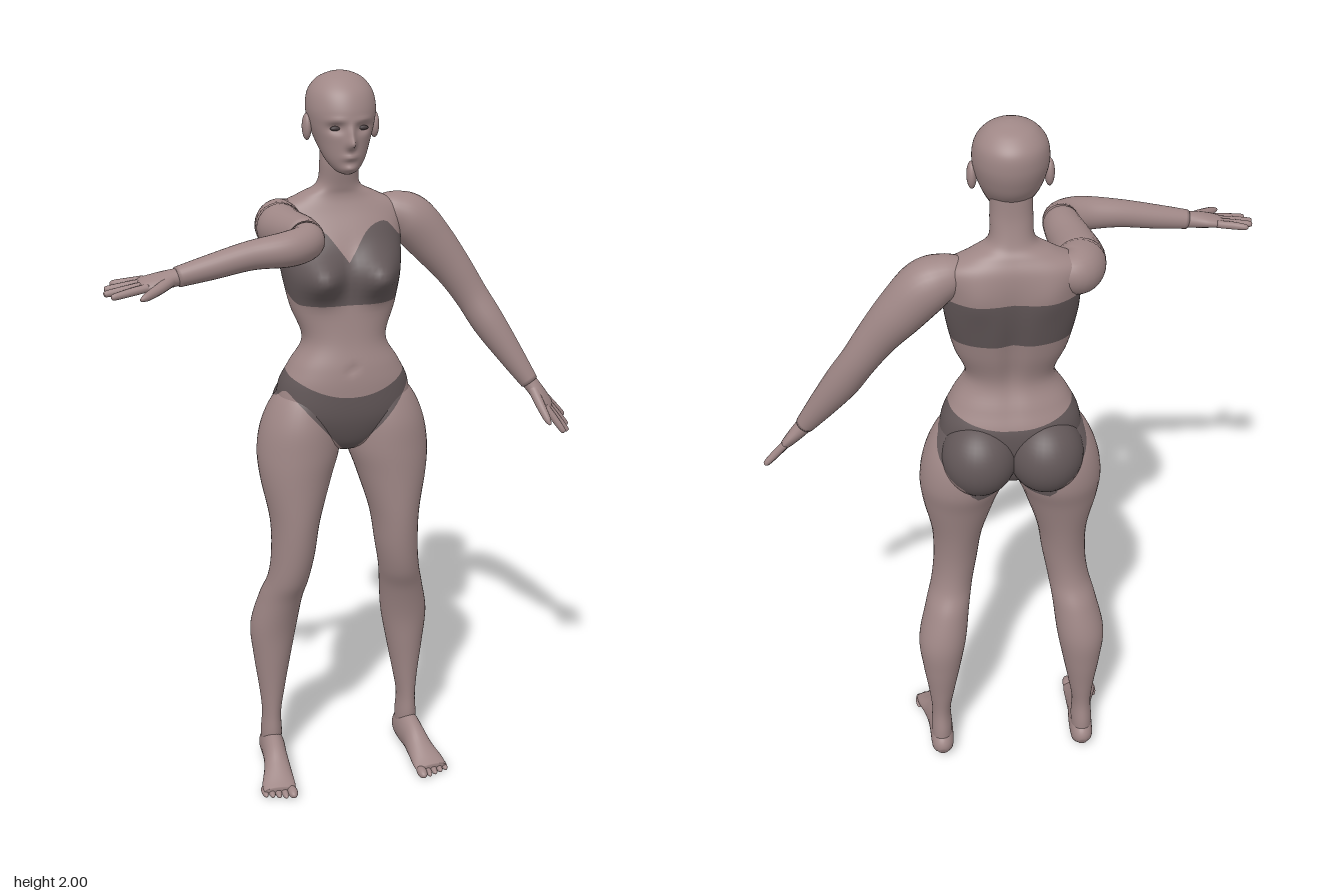
import * as THREE from 'three';

const skin = new THREE.MeshStandardMaterial({ color: 0x9f8786 });
skin.name = 'skin';
const cloth = new THREE.MeshStandardMaterial({ color: 0x625758 });
cloth.name = 'underwear cloth';
const dark = new THREE.MeshStandardMaterial({ color: 0x463c3e });
dark.name = 'eye dark';

const V = (x, y, z) => new THREE.Vector3(x, y, z);
const clamp = THREE.MathUtils.clamp;
const step = THREE.MathUtils.smoothstep;

// Smoothly interpolate rows of numbers, several steps per interval
function refine(rows, steps) {
  const out = [], last = rows.length - 1;
  for (let k = 0; k <= last * steps; k++) {
    const i = Math.min(Math.floor(k / steps), last - 1), t = k / steps - i;
    const p = [i - 1, i, i + 1, i + 2].map((n) => rows[clamp(n, 0, last)]);
    out.push(rows[0].map((_, c) => {
      const [a, b, d, e] = p.map((r) => r[c]);
      return 0.5 * (2 * b + (d - a) * t + (2 * a - 5 * b + 4 * d - e) * t * t + (3 * b - a - 3 * d + e) * t ** 3);
    }));
  }
  return out;
}

// Closed skin over a list of rings, capped at both ends
function loft(rings) {
  const n = rings[0].length, m = rings.length, idx = [];
  const pts = rings.flat();
  const mid = (r) => r.reduce((s, p) => s.add(p), V(0, 0, 0)).divideScalar(n);
  pts.push(mid(rings[0]), mid(rings[m - 1]));
  for (let j = 0; j < n; j++) {
    const k = (j + 1) % n;
    for (let i = 0; i < m - 1; i++) {
      const a = i * n + j, b = i * n + k;
      idx.push(a, a + n, b, b, a + n, b + n);
    }
    idx.push(n * m, j, k, n * m + 1, (m - 1) * n + k, (m - 1) * n + j);
  }
  const g = new THREE.BufferGeometry().setFromPoints(pts);
  g.setIndex(idx);
  g.computeVertexNormals();
  return g;
}

// Upright form from rows [y, centre x, half width, front z, back z];
// bumps [x, y, amount, spread x, spread y, front or back] are mirrored in x
function column(rows, { seg = 40, steps = 6, power = 2, bumps = [] } = {}) {
  const sp = (v) => Math.sign(v) * Math.abs(v) ** (2 / power);
  return loft(refine(rows, steps).map(([y, cx, w, zf, zb]) => Array.from({ length: seg }, (_, j) => {
    const a = (j / seg) * Math.PI * 2, s = Math.sin(a);
    const p = V(cx + w * sp(Math.cos(a)), y, (zf + zb) / 2 + ((zf - zb) / 2) * sp(s));
    for (const [bx, by, amt, sx, sy, side] of bumps) {
      const d = ((Math.abs(p.x) - bx) / sx) ** 2 + ((y - by) / sy) ** 2;
      p.z += side * amt * Math.exp(-d) * step(s * side, 0, 0.5);
    }
    return p;
  })));
}

// Limb along points [x, y, z, broad radius, thin radius]
function limb(points, broad, seg = 20, steps = 6) {
  const rows = refine(points, steps);
  const at = (i) => V(...rows[clamp(i, 0, rows.length - 1)].slice(0, 3));
  return loft(rows.map((r, i) => {
    const T = at(i + 1).sub(at(i - 1)).normalize();
    const B = broad.clone().addScaledVector(T, -broad.dot(T)).normalize();
    const N = B.clone().cross(T);
    return Array.from({ length: seg }, (_, j) => {
      const a = (j / seg) * Math.PI * 2;
      return at(i).addScaledVector(B, r[3] * Math.cos(a)).addScaledVector(N, r[4] * Math.sin(a));
    });
  }));
}

// Signed cover of the underwear: positive where cloth lies
function covered(p) {
  const x = Math.abs(p.x), { y, z } = p;
  const front = step(z, -0.13, -0.06), mix = (b, f) => b + (f - b) * front;
  const neckline = Math.min(1.52 + x * 1.4, 1.68 - (x - 0.115) * 2.2);
  const bra = Math.min(mix(1.57, neckline) - y, y - mix(1.44, 1.41));
  const waist = mix(1.195 + 1.2 * x * x, 1.165 + 2.1 * x * x);
  const seat = Math.min(1.19 + 0.875 * (z + 0.09), 0.985 + Math.max(0, x - 0.1) * 1.9);
  const brief = Math.min(waist - y, y - mix(seat, 1.02 + (x - 0.03) * 1.15));
  return Math.max(bra, brief);
}

// Split a surface along the cloth edge into skin and cloth groups
function dress(geo) {
  const P = geo.attributes.position, N = geo.attributes.normal, I = geo.index.array;
  const pos = [], nor = [], out = new THREE.BufferGeometry();
  [-1, 1].forEach((sign, group) => {
    const start = pos.length / 3;
    for (let t = 0; t < I.length; t += 3) {
      const tri = [0, 1, 2].map((k) => {
        const p = V(0, 0, 0).fromBufferAttribute(P, I[t + k]);
        return { p, n: V(0, 0, 0).fromBufferAttribute(N, I[t + k]), f: sign * covered(p) };
      });
      const poly = [];
      tri.forEach((a, k) => {
        const b = tri[(k + 1) % 3];
        if (a.f >= 0) poly.push(a);
        if (a.f >= 0 !== b.f >= 0) {
          const u = a.f / (a.f - b.f);
          poly.push({ p: a.p.clone().lerp(b.p, u), n: a.n.clone().lerp(b.n, u).normalize() });
        }
      });
      for (let k = 1; k < poly.length - 1; k++)
        for (const v of [poly[0], poly[k], poly[k + 1]]) { pos.push(...v.p); nor.push(...v.n); }
    }
    out.addGroup(start, pos.length / 3 - start, group);
  });
  out.setAttribute('position', new THREE.Float32BufferAttribute(pos, 3));
  out.setAttribute('normal', new THREE.Float32BufferAttribute(nor, 3));
  return out;
}

const ball = (x, y, z, a, b, c) => new THREE.SphereGeometry(1, 32, 24).scale(a, b, c).translate(x, y, z);

export function createModel() {
  const model = new THREE.Group();
  model.name = 'figure';
  const add = (name, geo, mat = skin, parent = model) => {
    const m = new THREE.Mesh(geo, mat);
    m.name = name;
    parent.add(m);
  };

  // Torso and neck
  add('torso', dress(column([
    [1.0, 0, 0.04, -0.06, -0.17], [1.03, 0, 0.11, -0.03, -0.2], [1.1, 0, 0.18, -0.005, -0.22],
    [1.18, 0, 0.178, 0, -0.225], [1.24, 0, 0.15, -0.005, -0.205], [1.31, 0, 0.113, -0.02, -0.183],
    [1.4, 0, 0.143, -0.03, -0.205], [1.5, 0, 0.163, -0.042, -0.228], [1.58, 0, 0.168, -0.068, -0.238],
    [1.645, 0, 0.172, -0.1, -0.235], [1.682, 0, 0.105, -0.112, -0.22], [1.71, 0, 0.057, -0.108, -0.205],
    [1.77, 0, 0.051, -0.095, -0.192], [1.83, 0, 0.05, -0.1, -0.19],
  ], { seg: 72, power: 2.3, bumps: [
    [0.08, 1.485, 0.075, 0.055, 0.052, 1], [0, 1.24, -0.006, 0.012, 0.012, 1],
    [0, 1.42, -0.014, 0.025, 0.16, -1], [0.09, 1.58, 0.01, 0.045, 0.06, -1],
  ] })), [skin, cloth]);

  // Head with brow, sockets, nose, lips and chin
  add('head', column([
    [1.747, 0, 0.01, -0.055, -0.085], [1.757, 0, 0.03, -0.04, -0.11], [1.785, 0, 0.052, -0.032, -0.15],
    [1.83, 0, 0.071, -0.028, -0.2], [1.87, 0, 0.084, -0.026, -0.222], [1.91, 0, 0.09, -0.028, -0.232],
    [1.95, 0, 0.083, -0.045, -0.228], [1.98, 0, 0.06, -0.077, -0.2], [1.995, 0, 0.03, -0.108, -0.165],
    [2.0, 0, 0.003, -0.135, -0.14],
  ], { seg: 96, steps: 8, bumps: [
    [0, 1.828, 0.026, 0.011, 0.014, 1], [0, 1.85, 0.013, 0.01, 0.022, 1], [0.036, 1.866, -0.012, 0.02, 0.013, 1],
    [0.035, 1.886, 0.004, 0.025, 0.008, 1], [0, 1.794, 0.009, 0.018, 0.008, 1], [0, 1.764, 0.008, 0.018, 0.009, 1],
  ] }));

  for (const s of [1, -1]) {
    const side = s > 0 ? 'left' : 'right';
    add(side + 'Eye', ball(s * 0.036, 1.866, -0.045, 0.014, 0.006, 0.007), dark);
    add(side + 'Ear', ball(s * 0.09, 1.862, -0.128, 0.012, 0.034, 0.02).rotateX(0));
    add(side + 'Buttock', dress(ball(s * 0.086, 1.095, -0.175, 0.098, 0.107, 0.106)), [skin, cloth]);

    // Leg
    add(side + 'Leg', dress(column([
      [0.03, 0.208, 0.028, -0.13, -0.205], [0.1, 0.207, 0.03, -0.115, -0.207], [0.17, 0.206, 0.027, -0.115, -0.2],
      [0.25, 0.203, 0.037, -0.11, -0.21], [0.35, 0.2, 0.053, -0.1, -0.225], [0.45, 0.195, 0.066, -0.087, -0.231],
      [0.55, 0.178, 0.061, -0.06, -0.207], [0.62, 0.162, 0.057, -0.03, -0.176], [0.7, 0.15, 0.06, -0.012, -0.17],
      [0.8, 0.143, 0.069, -0.002, -0.183], [0.92, 0.136, 0.098, 0, -0.212], [1.0, 0.126, 0.113, 0, -0.235],
      [1.08, 0.12, 0.104, -0.005, -0.23], [1.15, 0.11, 0.08, -0.025, -0.2], [1.19, 0.1, 0.045, -0.05, -0.17],
    ].map(([y, x, ...r]) => [y, s * x, ...r]))), [skin, cloth]);

    // Foot with a flat sole, and toes
    const foot = limb([
      [0.207, 0.034, -0.214, 0.012, 0.016], [0.207, 0.042, -0.195, 0.03, 0.042], [0.208, 0.055, -0.14, 0.034, 0.056],
      [0.212, 0.05, -0.09, 0.034, 0.051], [0.217, 0.036, -0.04, 0.039, 0.036], [0.225, 0.022, 0.01, 0.047, 0.021],
      [0.228, 0.016, 0.04, 0.045, 0.013],
    ].map(([x, ...r]) => [s * x, ...r]), V(1, 0, 0), 28);
    const fp = foot.attributes.position;
    for (let i = 0; i < fp.count; i++) fp.setY(i, Math.max(0.003, fp.getY(i)));
    foot.computeVertexNormals();
    add(side + 'Foot', foot);
    for (let i = 0; i < 5; i++) {
      const r = i ? 0.0095 : 0.014;
      add(side + 'Toe', ball(s * (0.194 + i * 0.018 + (i ? 0.003 : 0)), r + 0.001, 0.05 - i * 0.007, r, r, 0.027));
    }
  }

  // Arm path, then palm, fingers and thumb laid out from the wrist
  function arm(side, path, dir, broad) {
    const g = new THREE.Group();
    g.name = side + 'Arm';
    model.add(g);
    add(side + 'ArmLimb', limb(path.map((p) => [...p, p[3]]), broad, 28), skin, g);
    const wrist = V(...path.at(-1).slice(0, 3));
    dir.normalize();
    broad.addScaledVector(dir, -broad.dot(dir)).normalize();
    const at = (d, b, a, t) => [...wrist.clone().addScaledVector(dir, d).addScaledVector(broad, b), a, t];
    add(side + 'Palm', limb([at(-0.02, 0, 0.02, 0.02), at(0.01, 0, 0.026, 0.021), at(0.05, 0.003, 0.037, 0.018),
      at(0.085, 0, 0.035, 0.013), at(0.096, 0, 0.026, 0.006)], broad), skin, g);
    [0.155, 0.174, 0.18, 0.168].forEach((len, i) => {
      const b = (i - 1.5) * 0.018;
      add(side + 'Finger', limb([at(0.075, b, 0.01, 0.01), at(0.115, b * 1.2, 0.01, 0.01),
        at(len - 0.008, b * 1.5, 0.008, 0.008), at(len, b * 1.55, 0.003, 0.003)], broad, 12), skin, g);
    });
    add(side + 'Thumb', limb([at(0.015, 0.012, 0.014, 0.014), at(0.05, 0.045, 0.014, 0.013),
      at(0.09, 0.078, 0.01, 0.01), at(0.107, 0.09, 0.004, 0.004)], broad, 12), skin, g);
  }

  // Left arm hangs outward, right arm reaches forward and bends to the side
  arm('left', [
    [0.11, 1.635, -0.17, 0.035], [0.155, 1.625, -0.17, 0.054], [0.205, 1.6, -0.17, 0.066], [0.265, 1.535, -0.167, 0.062],
    [0.325, 1.46, -0.157, 0.052], [0.375, 1.385, -0.145, 0.046], [0.42, 1.31, -0.122, 0.045],
    [0.475, 1.225, -0.095, 0.036], [0.527, 1.145, -0.068, 0.025],
  ], V(0.62, -0.78, 0.15), V(-0.4, -0.2, 0.9));
  arm('right', [
    [-0.1, 1.63, -0.185, 0.035], [-0.15, 1.618, -0.165, 0.058], [-0.17, 1.612, -0.11, 0.063], [-0.162, 1.615, -0.03, 0.056],
    [-0.148, 1.62, 0.05, 0.049], [-0.152, 1.615, 0.105, 0.045], [-0.205, 1.608, 0.138, 0.044],
    [-0.3, 1.6, 0.146, 0.036], [-0.4, 1.58, 0.156, 0.031], [-0.485, 1.563, 0.165, 0.025],
  ], V(-1, -0.13, 0.05), V(0, -0.15, 1));

  return model;
}
